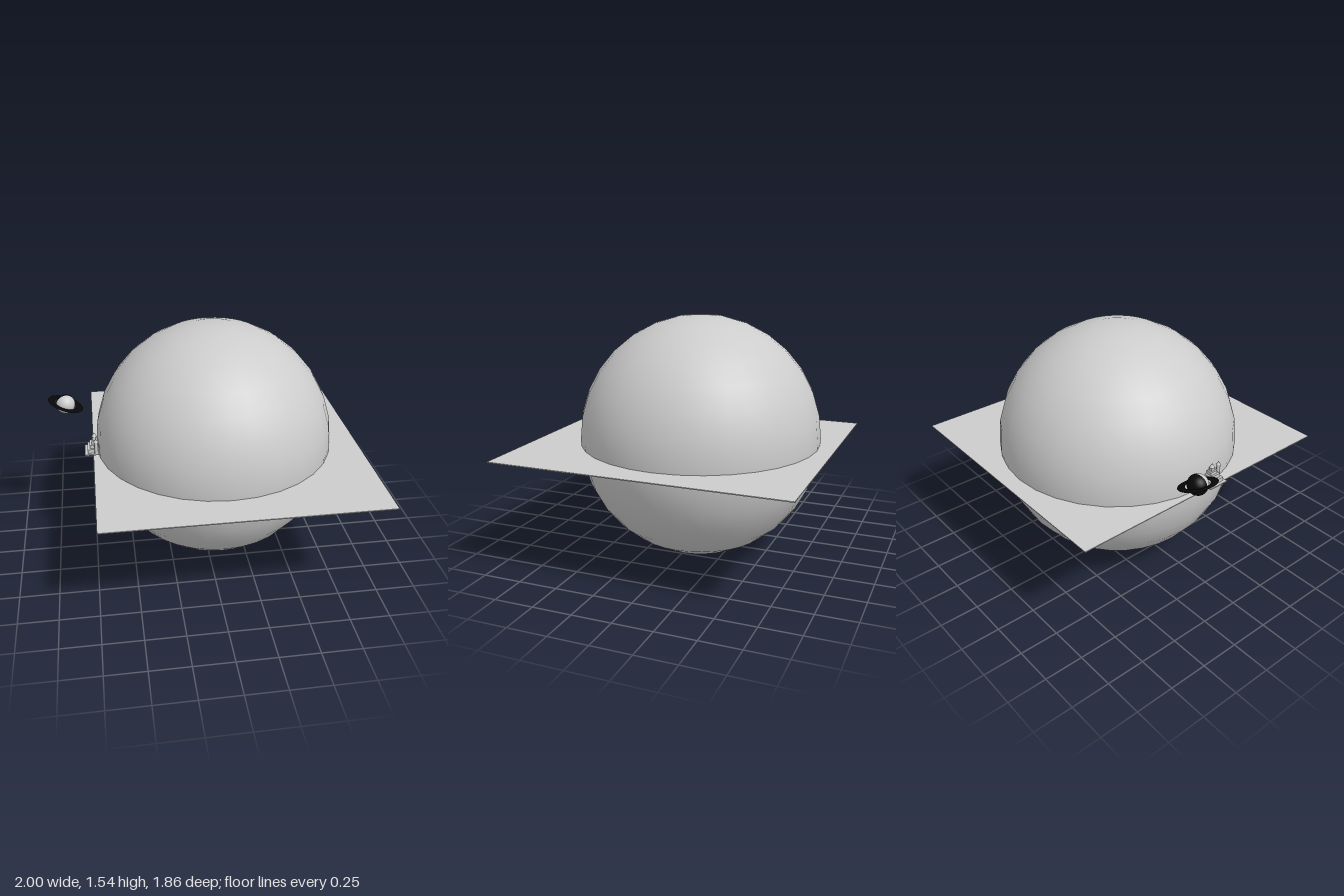
import * as THREE from 'three';

export function createModel() {
  const model = new THREE.Group();
  const grey = new THREE.MeshStandardMaterial({ name: 'light grey', color: 0xcccccc });
  const black = new THREE.MeshStandardMaterial({ name: 'black', color: 0x080808, side: THREE.DoubleSide });

  const add = (parent, name, geometry, material, x = 0, y = 0, z = 0) => {
    const mesh = new THREE.Mesh(geometry, material);
    mesh.name = name;
    mesh.position.set(x, y, z);
    parent.add(mesh);
    return mesh;
  };

  // Large globe cut by a thin ground sheet
  add(model, 'globe', new THREE.SphereGeometry(0.772, 32, 16), grey, 0.066, 0.774, -0.058);
  add(model, 'groundSheet', new THREE.BoxGeometry(1.73, 0.006, 1.86), grey, 0.135, 0.735, 0);

  // Small ringed planet, half light and half dark
  const planet = new THREE.Group();
  planet.name = 'ringedPlanet';
  planet.position.set(-0.892, 0.966, -0.262);
  planet.rotation.z = -0.35;
  model.add(planet);
  const halves = [['lightHalf', 0, grey], ['darkHalf', Math.PI, black]];
  for (const [name, start, material] of halves) {
    const half = add(planet, name, new THREE.SphereGeometry(0.063, 16, 16, start, Math.PI), material);
    half.rotation.y = 0.22;
  }
  const ring = add(planet, 'planetRing', new THREE.RingGeometry(0.074, 0.118, 48), black);
  ring.rotation.x = -Math.PI / 2;

  // Tiny stepped tower beside the globe
  const tower = new THREE.Group();
  tower.name = 'tower';
  tower.position.set(-0.735, 0.764, 0.032);
  model.add(tower);
  const tiers = [
    // width, height, depth, x, base y
    [0.094, 0.008, 0.136, 0, 0],
    [0.074, 0.026, 0.104, 0.008, 0.008],
    [0.056, 0.024, 0.076, 0.014, 0.034],
    [0.038, 0.022, 0.050, 0.018, 0.058],
    [0.022, 0.022, 0.028, 0.018, 0.080],
  ];
  for (const [w, h, d, x, y] of tiers) {
    add(tower, 'towerTier', new THREE.BoxGeometry(w, h, d), grey, x, y + h / 2, 0);
  }
  add(tower, 'towerRoof', new THREE.ConeGeometry(0.017, 0.028, 8), grey, 0.018, 0.116, 0);
  // Front turret with its own pointed roof
  add(tower, 'turret', new THREE.CylinderGeometry(0.012, 0.012, 0.085, 8), grey, 0.026, 0.05, 0.062);
  add(tower, 'turretRoof', new THREE.ConeGeometry(0.015, 0.024, 8), grey, 0.026, 0.104, 0.062);

  return model;
}
